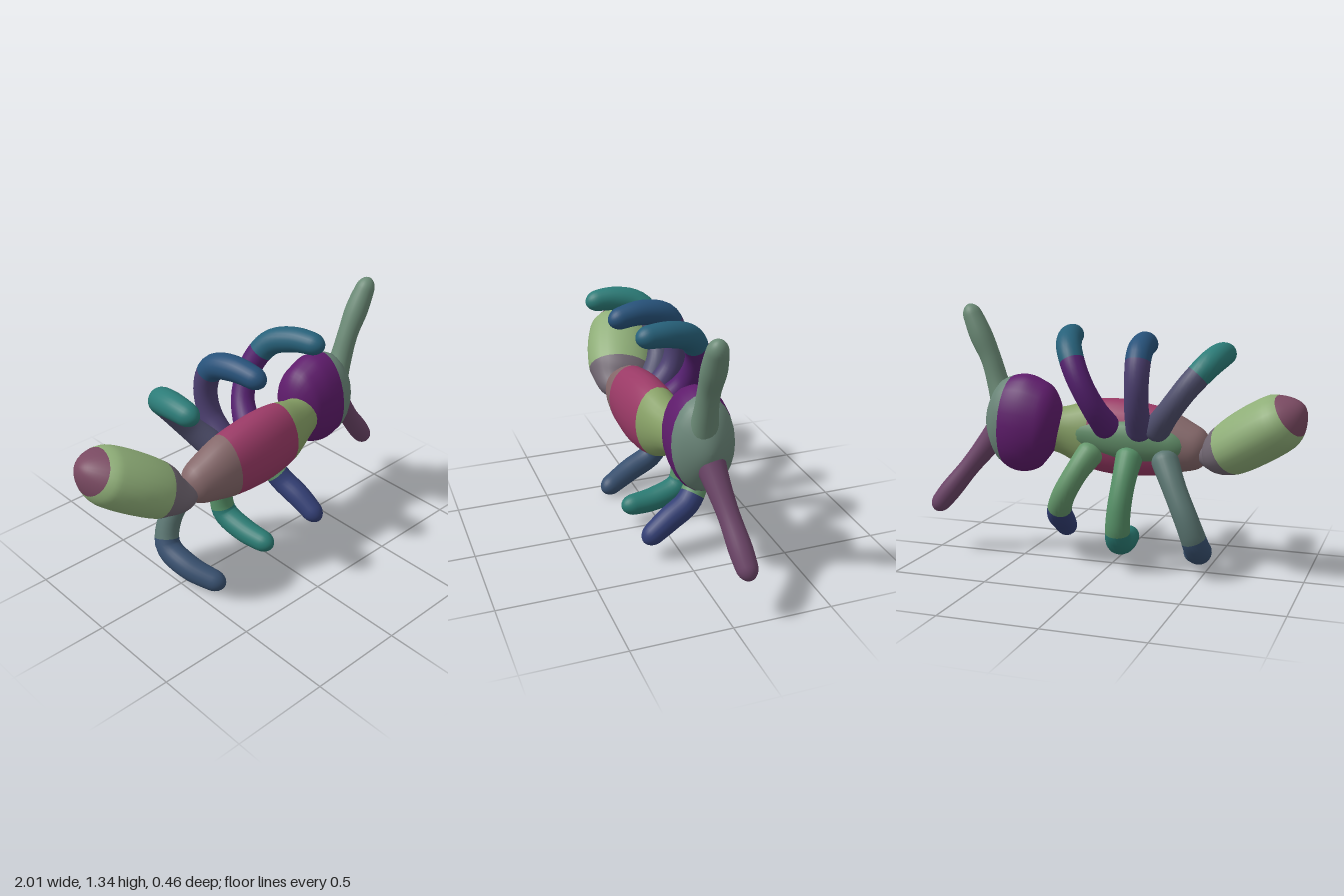
import * as THREE from 'three';

const Z = new THREE.Vector3(0, 0, 1);
const X = new THREE.Vector3(1, 0, 0);
const V = (p) => new THREE.Vector3(p[0], p[1], p[2]);

// Sweep an elliptical section along a spline, with rounded ends.
// stations: [x, y, z, radius across, radius along ref]; bands: [end fraction, color]
function sweep(name, stations, bands, ref, cap, rings = 44, sides = 24) {
  const curve = new THREE.CatmullRomCurve3(stations.map(V), false, 'centripetal');
  const radii = new THREE.CatmullRomCurve3(
    stations.map((s) => new THREE.Vector3(s[3], s[4] ?? s[3], 0)), false, 'catmullrom');
  const length = curve.getLength();
  const pos = [];
  for (let i = 0; i <= rings; i++) {
    const u = (1 - Math.cos((Math.PI * i) / rings)) / 2;
    const t = curve.getUtoTmapping(u);
    const p = curve.getPoint(t);
    const r = radii.getPoint(t);
    const tan = curve.getTangent(t);
    const side = ref.clone().addScaledVector(tan, -ref.dot(tan)).normalize();
    const up = side.clone().cross(tan);
    const d = Math.min(1, (Math.min(u, 1 - u) * length) / cap);
    const f = Math.max(0.001, Math.sqrt(1 - (1 - d) ** 2));
    for (let j = 0; j < sides; j++) {
      const a = (j / sides) * Math.PI * 2;
      const q = p.clone()
        .addScaledVector(up, Math.cos(a) * r.x * f)
        .addScaledVector(side, Math.sin(a) * r.y * f);
      pos.push(q.x, q.y, q.z);
    }
  }
  const indices = (from, to) => {
    const idx = [];
    for (let i = from; i < to; i++) {
      for (let j = 0; j < sides; j++) {
        const a = i * sides + j;
        const b = i * sides + ((j + 1) % sides);
        idx.push(a, b, a + sides, b, b + sides, a + sides);
      }
    }
    return idx;
  };
  // Normals come from the whole surface, so the color bands join smoothly
  const whole = new THREE.BufferGeometry();
  whole.setAttribute('position', new THREE.Float32BufferAttribute(pos, 3));
  whole.setIndex(indices(0, rings));
  whole.computeVertexNormals();

  const group = new THREE.Group();
  group.name = name;
  let from = 0;
  bands.forEach(([end, color], n) => {
    const to = Math.round((Math.acos(1 - 2 * end) / Math.PI) * rings);
    const geo = whole.clone();
    geo.setIndex(indices(from, to));
    const mesh = new THREE.Mesh(geo, new THREE.MeshStandardMaterial({ color }));
    mesh.name = `${name}Band${n + 1}`;
    group.add(mesh);
    from = to;
  });
  return group;
}

export function createModel() {
  const model = new THREE.Group();
  model.name = 'ant';

  // Body: abdomen, thorax and head
  model.add(sweep('abdomen', [
    [-0.985, 0.895, -0.09, 0.1, 0.125], [-0.88, 0.82, -0.07, 0.14, 0.17],
    [-0.74, 0.73, -0.025, 0.148, 0.188], [-0.61, 0.65, 0.015, 0.133, 0.175],
    [-0.52, 0.61, 0.05, 0.09, 0.125], [-0.42, 0.61, 0.06, 0.06, 0.07],
  ], [[0.12, 0x7a4a62], [0.66, 0x8fae78], [1, 0x6f6570]], Z, 0.15));
  model.add(sweep('thorax', [
    [-0.505, 0.62, 0.06, 0.085, 0.065], [-0.41, 0.63, 0.065, 0.12, 0.1],
    [-0.25, 0.65, 0.07, 0.175, 0.125], [-0.02, 0.665, 0.07, 0.2, 0.133],
    [0.15, 0.675, 0.06, 0.18, 0.122], [0.29, 0.69, 0.035, 0.125, 0.1],
    [0.4, 0.7, 0.0, 0.11, 0.09],
  ], [[0.28, 0x85686a], [0.72, 0x9a3a66], [1, 0x87a066]], Z, 0.07));
  model.add(sweep('head', [
    [0.27, 0.7, -0.01, 0.17, 0.115], [0.36, 0.715, -0.02, 0.222, 0.145],
    [0.47, 0.725, -0.023, 0.26, 0.16], [0.58, 0.735, -0.012, 0.23, 0.148],
    [0.695, 0.74, 0.0, 0.145, 0.1],
  ], [[0.68, 0x5f1c6c], [1, 0x6a8578]], Z, 0.11));

  // Ridge down the back where the legs meet
  model.add(sweep('legRidge', [
    [-0.4, 0.64, 0.0, 0.07, 0.055], [-0.1, 0.665, -0.01, 0.11, 0.075],
    [0.25, 0.69, 0.0, 0.07, 0.055],
  ], [[1, 0x5f8a66]], Z, 0.1));

  // Antennae
  model.add(sweep('upperAntenna', [
    [0.58, 0.76, 0.0, 0.085], [0.635, 0.91, 0.008, 0.06], [0.68, 1.05, 0.012, 0.054],
    [0.74, 1.18, 0.015, 0.06], [0.812, 1.335, 0.024, 0.045],
  ], [[1, 0x6b8a76]], Z, 0.06));
  model.add(sweep('lowerAntenna', [
    [0.57, 0.74, -0.01, 0.09], [0.68, 0.61, -0.028, 0.065], [0.79, 0.475, -0.05, 0.053],
    [0.9, 0.34, -0.07, 0.057], [0.988, 0.23, -0.085, 0.048],
  ], [[1, 0x6c4568]], Z, 0.06));

  // Legs: out from the back, round a knee, then forward to the tip
  const legs = [
    ['upperLeftLeg', [[0.0, 0.7, -0.02], [0.055, 0.84, -0.13], [0.13, 0.99, -0.15],
      [0.2, 1.12, -0.085], [0.245, 1.17, 0.04], [0.28, 1.18, 0.215]], 0x55206f, 0x27617a],
    ['upperMiddleLeg', [[-0.16, 0.69, -0.02], [-0.17, 0.84, -0.13], [-0.175, 0.99, -0.15],
      [-0.17, 1.11, -0.095], [-0.155, 1.15, 0.04], [-0.125, 1.13, 0.225]], 0x4c3f70, 0x27527a],
    ['upperRightLeg', [[-0.22, 0.7, -0.02], [-0.33, 0.84, -0.11], [-0.43, 0.97, -0.12],
      [-0.515, 1.07, -0.065], [-0.545, 1.105, 0.06], [-0.545, 1.1, 0.225]], 0x50506e, 0x2c7c78],
    ['lowerLeftLeg', [[0.08, 0.63, -0.02], [0.16, 0.5, -0.1], [0.23, 0.37, -0.115],
      [0.275, 0.27, -0.055], [0.3, 0.2, 0.06], [0.32, 0.105, 0.2]], 0x64966b, 0x333f75],
    ['lowerMiddleLeg', [[-0.11, 0.63, -0.02], [-0.1, 0.48, -0.115], [-0.085, 0.32, -0.155],
      [-0.075, 0.18, -0.135], [-0.06, 0.125, 0.0], [-0.04, 0.115, 0.2]], 0x579168, 0x2a7a72],
    ['lowerRightLeg', [[-0.27, 0.62, -0.02], [-0.36, 0.46, -0.11], [-0.44, 0.3, -0.15],
      [-0.48, 0.17, -0.12], [-0.46, 0.1, 0.02], [-0.375, 0.04, 0.205]], 0x5b7672, 0x38506f],
  ];
  const girth = [0.075, 0.061, 0.061, 0.065, 0.064, 0.052];
  for (const [name, path, thigh, shin] of legs) {
    const stations = path.map((p, i) => [...p, girth[i]]);
    model.add(sweep(name, stations, [[0.55, thigh], [1, shin]], X, 0.065));
  }
  return model;
}
